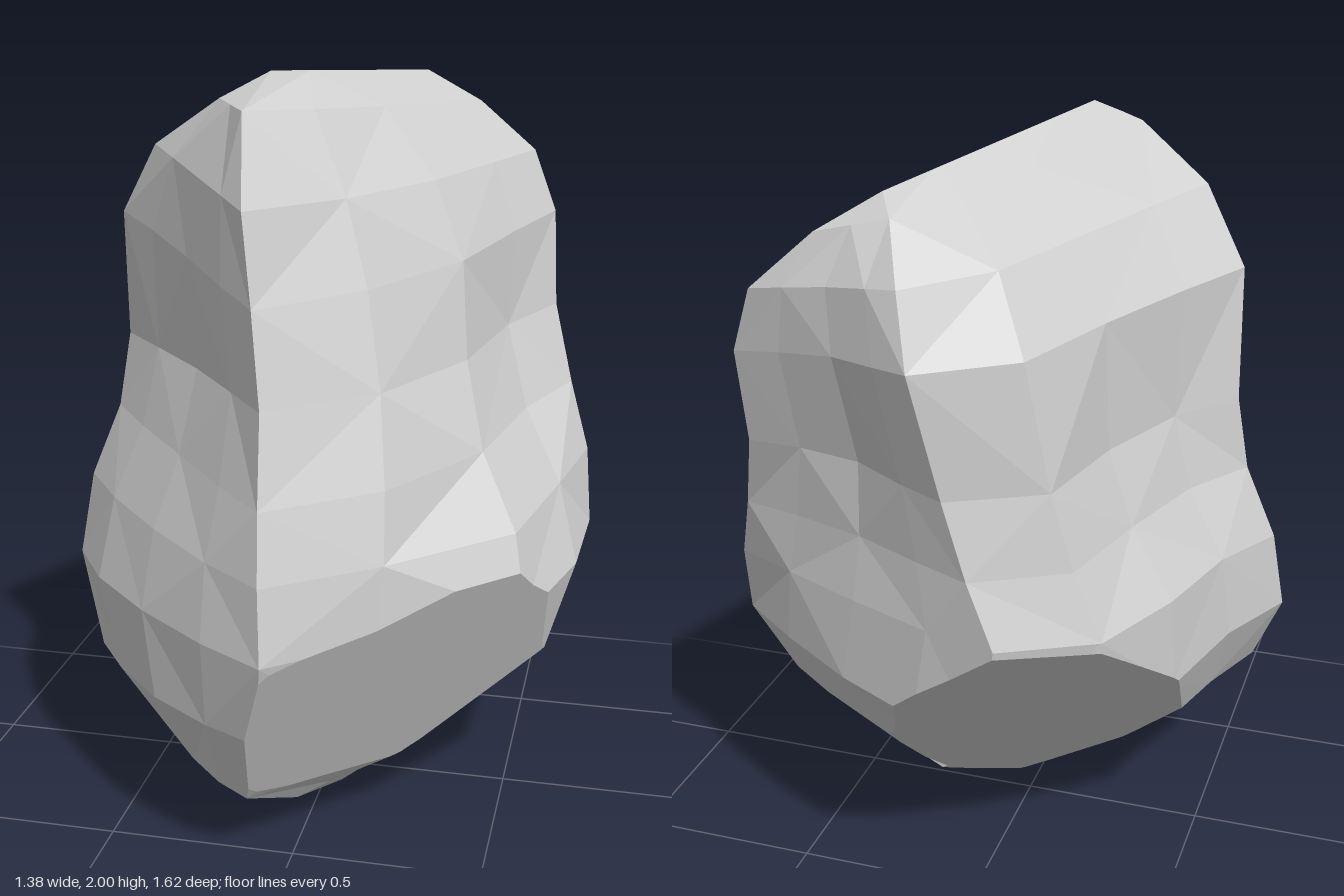
import * as THREE from 'three';

// Four ridges of the boulder, listed from the crest down to the foot
const front = [[-.11, 2, .2], [-.12, 1.93, .44], [-.09, 1.72, .57], [-.06, 1.5, .61], [-.03, 1.27, .66], [-.02, 1.05, .73],
  [-.01, .88, .78], [0, .69, .81], [-.03, .45, .74], [-.1, .2, .58], [-.03, .06, .32], [.05, 0, .1]];
const side = [[.15, 1.93, -.61], [.3, 1.84, -.66], [.46, 1.7, -.68], [.53, 1.53, -.64], [.55, 1.27, -.56], [.61, 1.06, -.48],
  [.67, .88, -.41], [.69, .68, -.35], [.61, .45, -.26], [.4, .24, -.18], [.22, .1, -.13], [.05, 0, .1]];
const back = [[.15, 1.93, -.61], [.12, 1.88, -.65], [.07, 1.75, -.75], [.03, 1.58, -.81], [-.03, 1.27, -.77], [-.09, 1.08, -.78],
  [-.16, .92, -.8], [-.12, .65, -.78], [-.08, .45, -.6], [0, .2, -.3], [.05, .08, -.1], [.05, 0, .1]];
const farSide = [[-.11, 2, .2], [-.22, 1.94, .28], [-.42, 1.81, .18], [-.54, 1.62, .1], [-.55, 1.28, .06], [-.58, 1.08, .08],
  [-.66, .88, .1], [-.69, .66, .14], [-.6, .43, .24], [-.4, .26, .29], [-.15, .11, .2], [.05, 0, .1]];

// Faces between the ridges; swell is the push out from the chord at three sections, level by level
const SECTIONS = [0, .22, .5, .78, 1];
const faces = [
  { a: front, b: side, swell: [
    [0, .03, .08, .11, .13, .14, .13, .1, .1, .06, .02, 0],
    [0, .03, .09, .13, .13, .16, .24, .27, .23, .14, .05, 0],
    [0, .01, .04, .05, .02, .04, .11, .16, .16, .09, .03, 0]] },
  { a: side, b: back, swell: [
    [0, 0, -.01, -.03, -.04, -.02, .01, .03, .03, .02, 0, 0],
    [0, 0, -.02, -.05, -.06, -.03, .02, .05, .05, .03, 0, 0],
    [0, 0, -.01, -.02, -.02, -.01, .02, .04, .04, .02, 0, 0]] },
  { a: back, b: farSide, swell: [
    [0, .02, .08, .12, .13, .13, .13, .14, .13, .08, .02, 0],
    [0, .02, .05, .06, .03, .05, .09, .11, .12, .08, .03, 0],
    [0, .01, .02, .02, -.02, -.01, .01, .02, .04, .03, .01, 0]] },
  { a: farSide, b: front, swell: [
    [0, 0, 0, -.01, -.01, .01, .03, .05, .04, .03, 0, 0],
    [0, 0, 0, -.01, -.02, .01, .04, .06, .06, .04, .01, 0],
    [0, 0, 0, 0, -.01, .01, .03, .04, .04, .03, 0, 0]] },
];

// Flat breaks on the underside: normal and distance
const breaks = [
  { n: new THREE.Vector3(.365, -.248, .369), d: .132 },
  { n: new THREE.Vector3(-.235, -.494, -.453), d: -.046 },
];

// Point on a face at level i and section k
function facePoint({ a, b, swell }, i, k) {
  const p = new THREE.Vector3(...a[i]), q = new THREE.Vector3(...b[i]);
  const out = new THREE.Vector3(p.z - q.z, 0, q.x - p.x).normalize();
  const push = k > 0 && k < 4 ? swell[k - 1][i] : 0;
  return p.lerp(q, SECTIONS[k]).addScaledVector(out, push);
}

// Cut the solid along a plane and close it with a flat cap
function cut(triangles, { n, d }) {
  const kept = [], rim = [];
  for (const t of triangles) {
    const poly = [], crossing = [];
    t.forEach((p, i) => {
      const q = t[(i + 1) % 3], sp = n.dot(p) - d, sq = n.dot(q) - d;
      if (sp <= 0) poly.push(p);
      if ((sp <= 0) !== (sq <= 0)) {
        const x = p.clone().lerp(q, sp / (sp - sq));
        poly.push(x);
        crossing[sp <= 0 ? 0 : 1] = x;
      }
    });
    for (let i = 1; i < poly.length - 1; i++) kept.push([poly[0], poly[i], poly[i + 1]]);
    if (crossing.length) rim.push(crossing);
  }
  const centre = new THREE.Vector3();
  for (const [p] of rim) centre.addScaledVector(p, 1 / rim.length);
  for (const [p, q] of rim) kept.push([q, p, centre]);
  return kept;
}

function boulderGeometry() {
  let triangles = [];
  for (const face of faces) {
    for (let i = 0; i < front.length - 1; i++) {
      for (let k = 0; k < SECTIONS.length - 1; k++) {
        const a = facePoint(face, i, k), b = facePoint(face, i + 1, k);
        const c = facePoint(face, i + 1, k + 1), d = facePoint(face, i, k + 1);
        // alternate the diagonals for an irregular chiselled look
        if ((i + k) % 2) triangles.push([a, b, c], [a, c, d]);
        else triangles.push([a, b, d], [b, c, d]);
      }
    }
  }
  for (const plane of breaks) triangles = cut(triangles, plane);
  const solid = triangles.filter(([a, b, c]) => b.clone().sub(a).cross(c.clone().sub(a)).length() > 1e-7);
  const geometry = new THREE.BufferGeometry().setFromPoints(solid.flat());
  geometry.computeVertexNormals();
  return geometry;
}

export function createModel() {
  const group = new THREE.Group();
  group.name = 'rock';
  const stone = new THREE.MeshStandardMaterial({ color: 0xd0d0d0, flatShading: true });
  stone.name = 'grey stone';
  const boulder = new THREE.Mesh(boulderGeometry(), stone);
  boulder.name = 'boulder';
  group.add(boulder);
  return group;
}
